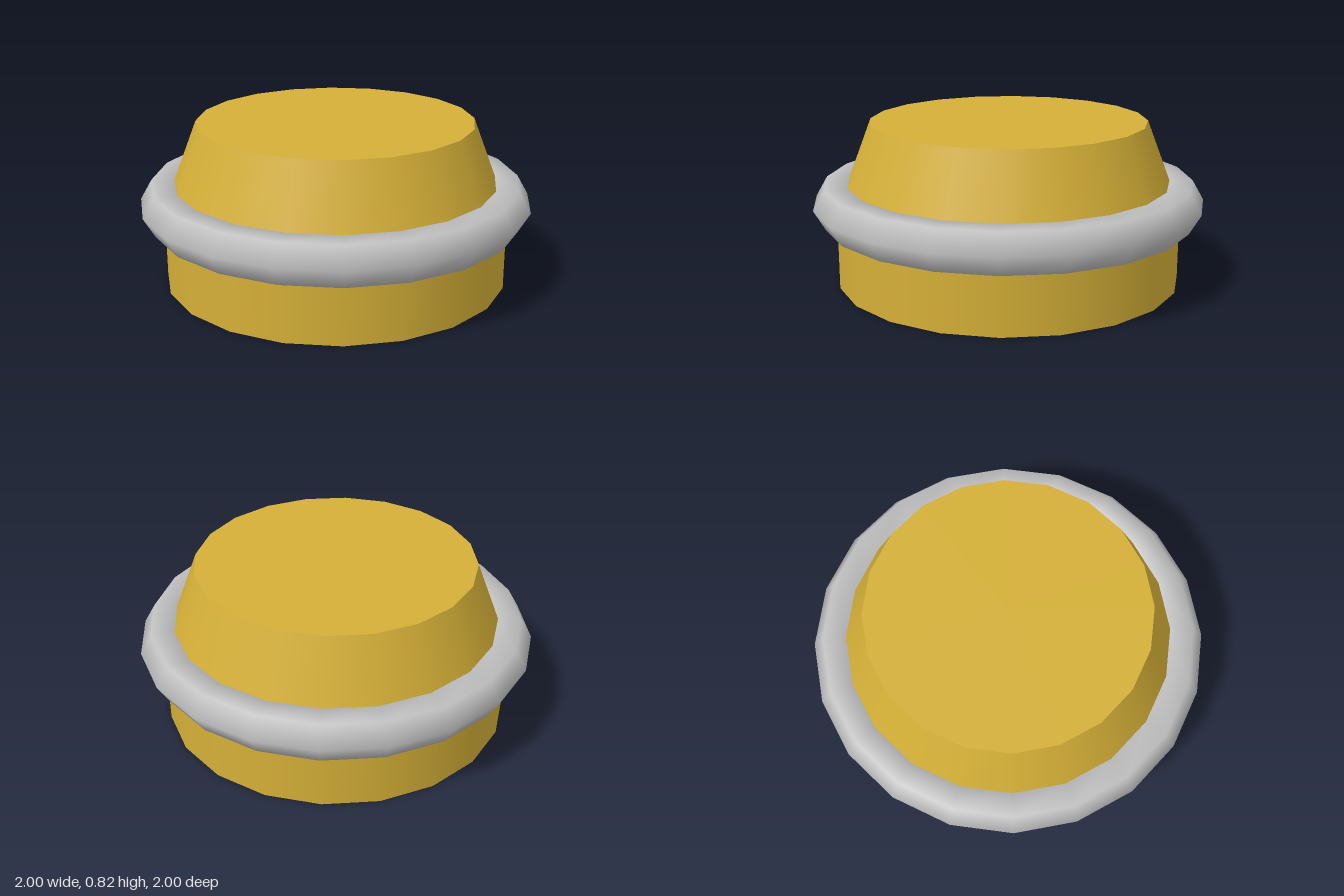
import * as THREE from 'three';

const SIDES = 20;

export function createModel() {
  const gold = new THREE.MeshStandardMaterial({ color: 0xd4af37 });
  gold.name = 'gold';
  const silver = new THREE.MeshStandardMaterial({ color: 0xc0c0c0 });
  silver.name = 'silver';

  const group = new THREE.Group();
  group.name = 'ringedCap';

  const add = (name, geometry, material, y) => {
    const mesh = new THREE.Mesh(geometry, material);
    mesh.name = name;
    mesh.position.y = y;
    group.add(mesh);
  };

  // Straight drum below the ring
  const seam = 0.36, top = 0.822;
  add('base', new THREE.CylinderGeometry(0.883, 0.883, seam, SIDES), gold, seam / 2);

  // Tapered top, its lower edge hidden inside the ring
  add('taperedTop', new THREE.CylinderGeometry(0.705, 0.883, top - seam, SIDES), gold, (top + seam) / 2);

  // Six-sided ring around the seam
  const tube = 0.1165;
  const ring = new THREE.TorusGeometry(1 - tube, tube, 6, SIDES).rotateX(-Math.PI / 2);
  add('ring', ring, silver, 0.413);

  return group;
}
